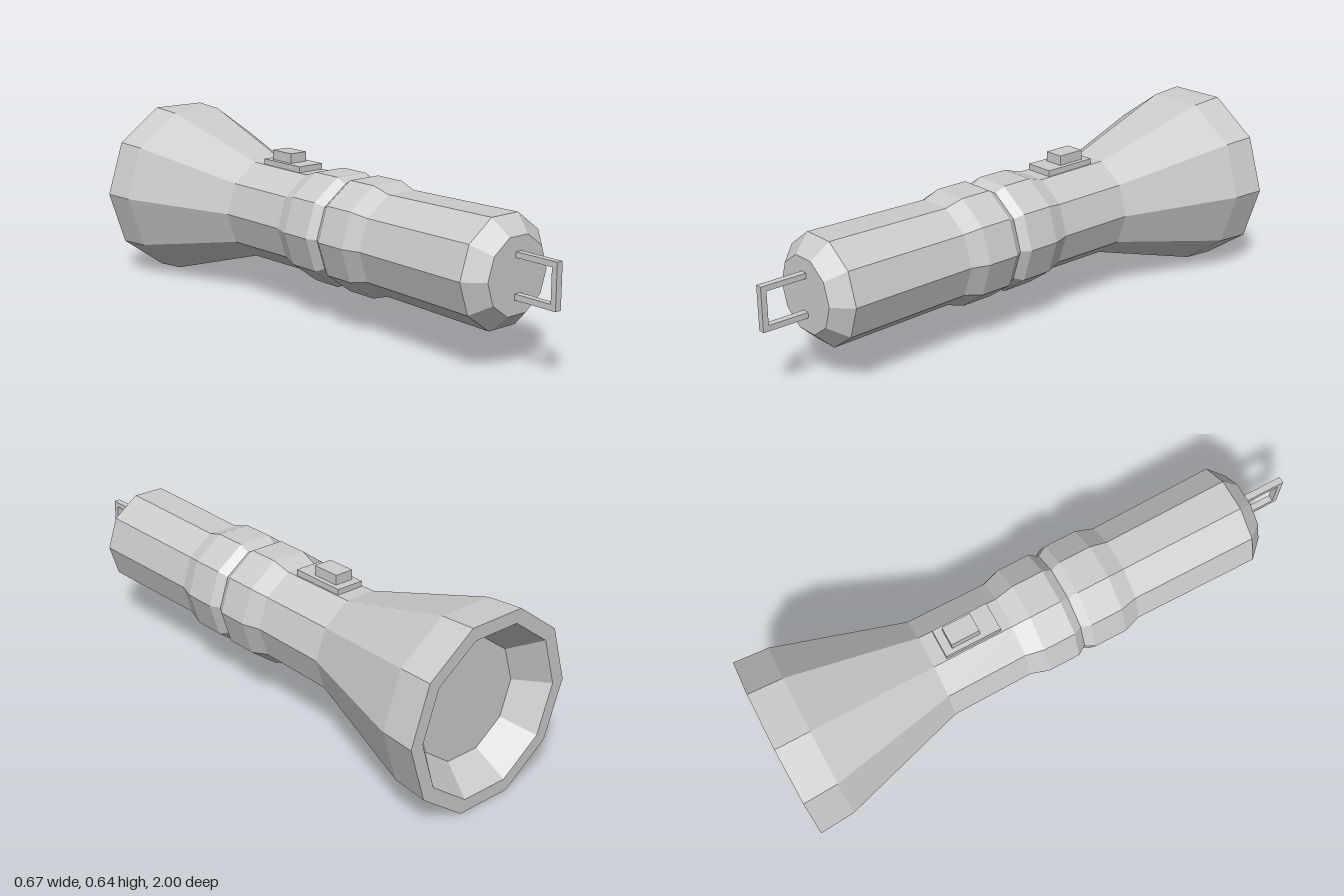
import * as THREE from 'three';

export function createModel() {
  const model = new THREE.Group();
  model.name = 'flashlight';
  const grey = new THREE.MeshStandardMaterial({ color: 0xcccccc, flatShading: true });
  grey.name = 'light grey';
  const axisY = 0.32;

  function add(geometry, name, parent = model) {
    const mesh = new THREE.Mesh(geometry, grey);
    mesh.name = name;
    parent.add(mesh);
    return mesh;
  }

  // Ten-sided shell along z, built from [radius, z] profiles
  function shell(profile, name) {
    const points = profile.map(([r, z]) => new THREE.Vector2(r, z));
    const geometry = new THREE.LatheGeometry(points, 10, Math.PI / 2, Math.PI * 2);
    geometry.rotateX(Math.PI / 2);
    add(geometry, name).position.y = axisY;
  }

  // Recessed reflector, rim and flared head
  shell([[0, -0.9], [0.205, -0.9], [0.287, -1]], 'reflector');
  shell([[0.287, -1], [0.335, -1], [0.326, -0.875], [0.187, -0.42]], 'head');

  // Barrel with two raised grip rings and a chamfered tail cap
  shell([
    [0.187, -0.42], [0.184, -0.125], [0.205, -0.06], [0.205, 0.057],
    [0.184, 0.09], [0.205, 0.123], [0.205, 0.243], [0.184, 0.308],
    [0.191, 0.775], [0.132, 0.835], [0, 0.835],
  ], 'barrel');

  // Box given by its minimum and maximum corners
  function box(min, max, name, parent) {
    const size = max.map((v, i) => v - min[i]);
    const mesh = add(new THREE.BoxGeometry(...size), name, parent);
    mesh.position.set(...max.map((v, i) => (v + min[i]) / 2));
  }

  // Stepped switch on top
  const powerSwitch = new THREE.Group();
  powerSwitch.name = 'switch';
  model.add(powerSwitch);
  box([-0.052, 0.47, -0.37], [0.052, 0.517, -0.165], 'switchBase', powerSwitch);
  box([-0.035, 0.51, -0.34], [0.035, 0.552, -0.235], 'switchButton', powerSwitch);

  // Square hanging loop at the tail, open towards the cap
  const loop = new THREE.Shape();
  [[0.82, 0.244], [1, 0.244], [1, 0.398], [0.82, 0.398],
    [0.82, 0.379], [0.98, 0.379], [0.98, 0.264], [0.82, 0.264]]
    .forEach(([z, y], i) => (i ? loop.lineTo(z, y) : loop.moveTo(z, y)));
  const loopGeometry = new THREE.ExtrudeGeometry(loop, { depth: 0.024, bevelEnabled: false });
  loopGeometry.translate(0, 0, -0.012);
  loopGeometry.rotateY(-Math.PI / 2);
  add(loopGeometry, 'hangingLoop');

  return model;
}
